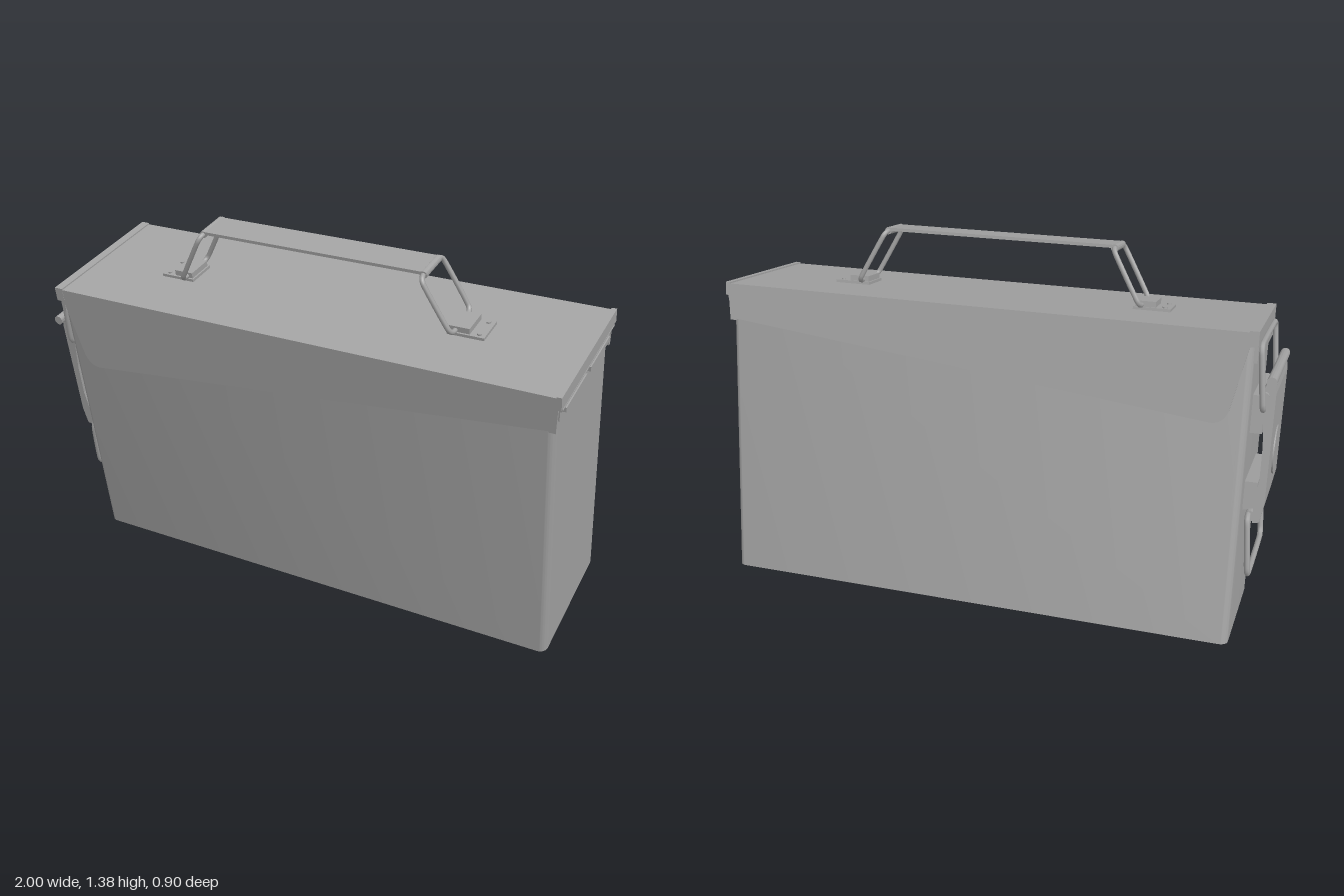
import * as THREE from 'three';
import { toCreasedNormals } from 'three/addons/utils/BufferGeometryUtils.js';

export function createModel() {
  const root = new THREE.Group();
  root.name = 'metalCan';
  const can = new THREE.Group();
  can.name = 'tiltedCan';
  root.add(can);
  const steel = new THREE.MeshStandardMaterial({ color: 0xa3a3a3, side: THREE.DoubleSide });
  steel.name = 'greySteel';

  const add = (name, geometry, x = 0, y = 0, z = 0) => {
    const mesh = new THREE.Mesh(geometry, steel);
    mesh.name = name;
    mesh.position.set(x, y, z);
    can.add(mesh);
    return mesh;
  };
  // Box given by its limits
  const box = (name, x0, x1, y0, y1, z0, z1) =>
    add(name, new THREE.BoxGeometry(x1 - x0, y1 - y0, z1 - z0), (x0 + x1) / 2, (y0 + y1) / 2, (z0 + z1) / 2);
  // Cylinder lying across the width
  const rod = (name, x, y, r, half) =>
    add(name, toCreasedNormals(new THREE.CylinderGeometry(r, r, half * 2, 14).rotateX(Math.PI / 2), 0.7), x, y, 0);
  const V = (x, y, z) => new THREE.Vector3(x, y, z);

  // Wire bent through corners with rounded bends
  const wireLoop = (name, corners, bend, r) => {
    const pts = [];
    corners.forEach((p, i) => {
      const n = corners.length;
      const a = corners[(i + n - 1) % n].clone().sub(p).setLength(bend).add(p);
      const b = corners[(i + 1) % n].clone().sub(p).setLength(bend).add(p);
      pts.push(...new THREE.QuadraticBezierCurve3(a, p, b).getPoints(4));
    });
    const path = new THREE.CatmullRomCurve3(pts, true, 'centripetal');
    add(name, new THREE.TubeGeometry(path, 110, r, 8, true));
  };

  // Body: rounded rectangle drawn upward
  const X = 0.932, Z = 0.269, R = 0.03;
  const plan = new THREE.Shape();
  plan.moveTo(-X + R, -Z);
  plan.lineTo(X - R, -Z);
  plan.absarc(X - R, -Z + R, R, -Math.PI / 2, 0);
  plan.absarc(X - R, Z - R, R, 0, Math.PI / 2);
  plan.absarc(-X + R, Z - R, R, Math.PI / 2, Math.PI);
  plan.absarc(-X + R, -Z + R, R, Math.PI, Math.PI * 1.5);
  const bodyGeo = new THREE.ExtrudeGeometry(plan, { depth: 1.07, bevelEnabled: false, curveSegments: 6 });
  add('body', toCreasedNormals(bodyGeo.rotateX(-Math.PI / 2), 0.6));

  // Lid top, end ridges and end flaps
  box('lidTop', -0.938, 0.947, 1.045, 1.087, -0.275, 0.275);
  box('latchEndRidge', -0.944, -0.912, 1.04, 1.092, -0.277, 0.277);
  box('hingeEndRidge', 0.935, 0.953, 1.045, 1.092, -0.277, 0.277);
  box('latchEndFlap', -0.944, -0.93, 0.985, 1.06, -0.26, 0.26);

  // Lid side skirts with a slanted lower edge
  const skirt = new THREE.Shape();
  skirt.moveTo(0.938, 0.963);
  skirt.lineTo(0.945, 1.087);
  skirt.lineTo(-0.938, 1.087);
  skirt.lineTo(-0.915, 1.03);
  skirt.lineTo(-0.872, 0.835);
  skirt.quadraticCurveTo(-0.86, 0.776, -0.81, 0.778);
  const skirtGeo = new THREE.ExtrudeGeometry(skirt, { depth: 0.008, bevelEnabled: false });
  add('frontSkirt', skirtGeo, 0, 0, 0.268);
  add('backSkirt', skirtGeo, 0, 0, -0.276);

  // Hinge at the right end
  box('hingePlate', 0.93, 0.94, 0.985, 1.05, -0.25, 0.25);
  rod('hingeLip', 0.944, 1.038, 0.009, 0.262);
  for (const z of [-0.12, 0.12]) box('hingeKnuckle', 0.935, 0.951, 1.003, 1.02, z - 0.1, z + 0.1);
  for (const s of [-1, 1]) box('hingeTab', 0.915, 0.938, 0.955, 1.045, s * 0.269 - 0.006, s * 0.269 + 0.006);

  // Carrying handle: two wire loops, a flat strap and lid brackets
  for (const s of [-1, 1]) {
    const foot = s * 0.518, top = s * 0.415, c = 0.008;
    wireLoop('handleLoop', [
      V(foot, 1.103, -0.085), V(foot, 1.103, 0.085), V(top, 1.29, 0.085), V(top, 1.29, -0.085),
    ], 0.03, 0.009);
    const x = (a, b) => (s > 0 ? [a, b] : [-b, -a]);
    box('bracketPlate', ...x(0.49, 0.62), 1.087, 1.097, -0.057, 0.057);
    box('bracketFold', ...x(foot * s - 0.022, foot * s + 0.05), 1.097, 1.117, -0.05, 0.05);
    rod('strapCurl', top, 1.29, 0.013, 0.06);
    for (const z of [-0.04, 0.04]) {
      add('rivet', new THREE.CylinderGeometry(c, c, 0.006, 10), s * 0.598, 1.099, z);
    }
  }
  box('handleStrap', -0.415, 0.415, 1.29, 1.301, -0.06, 0.06);

  // Latch lever: side profile drawn across the width
  const lever = new THREE.Shape([
    [0.035, 0.87], [0.05, 0.925], [0.07, 0.925], [0.077, 0.88], [0.074, 0.5], [0.062, 0.435],
    [0.04, 0.43], [0.038, 0.5], [0.05, 0.58], [0.05, 0.7],
  ].map(([d, y]) => new THREE.Vector2(-X - d, y)));
  add('latchLever', new THREE.ExtrudeGeometry(lever, { depth: 0.42, bevelEnabled: false }), 0, 0, -0.21);
  rod('latchGrip', -0.994, 0.925, 0.017, 0.245);
  rod('latchUpperRod', -0.975, 0.87, 0.014, 0.225);
  rod('latchPivot', -0.963, 0.45, 0.018, 0.2);
  box('upperMount', -0.972, -0.928, 0.73, 0.86, -0.17, 0.17);
  box('lowerMount', -0.975, -0.928, 0.46, 0.56, -0.17, 0.17);

  // Round embossed mark on the lever
  const disc = new THREE.CylinderGeometry(0.085, 0.085, 0.008, 32).rotateZ(Math.PI / 2);
  add('leverDisc', toCreasedNormals(disc, 0.7), -1.008, 0.635, 0);

  // Latch wires
  wireLoop('upperLatchWire', [
    V(-0.95, 1.04, -0.235), V(-0.95, 1.04, 0.235), V(-0.972, 0.82, 0.225), V(-0.972, 0.82, -0.225),
  ], 0.03, 0.01);
  wireLoop('lowerLatchWire', [
    V(-0.955, 0.455, -0.225), V(-0.955, 0.455, 0.225), V(-0.972, 0.24, 0.215), V(-0.972, 0.24, -0.215),
  ], 0.035, 0.01);

  // Whole can leans back and turns slightly
  const l = V(0.9967, -0.0296, 0.0752).normalize();
  const u = V(-0.073, -0.21, 0.975).cross(l).normalize();
  const w = l.clone().cross(u);
  can.quaternion.setFromRotationMatrix(new THREE.Matrix4().makeBasis(l, u, w));
  can.position.set(0.011, 0.085, -0.124);
  return root;
}
